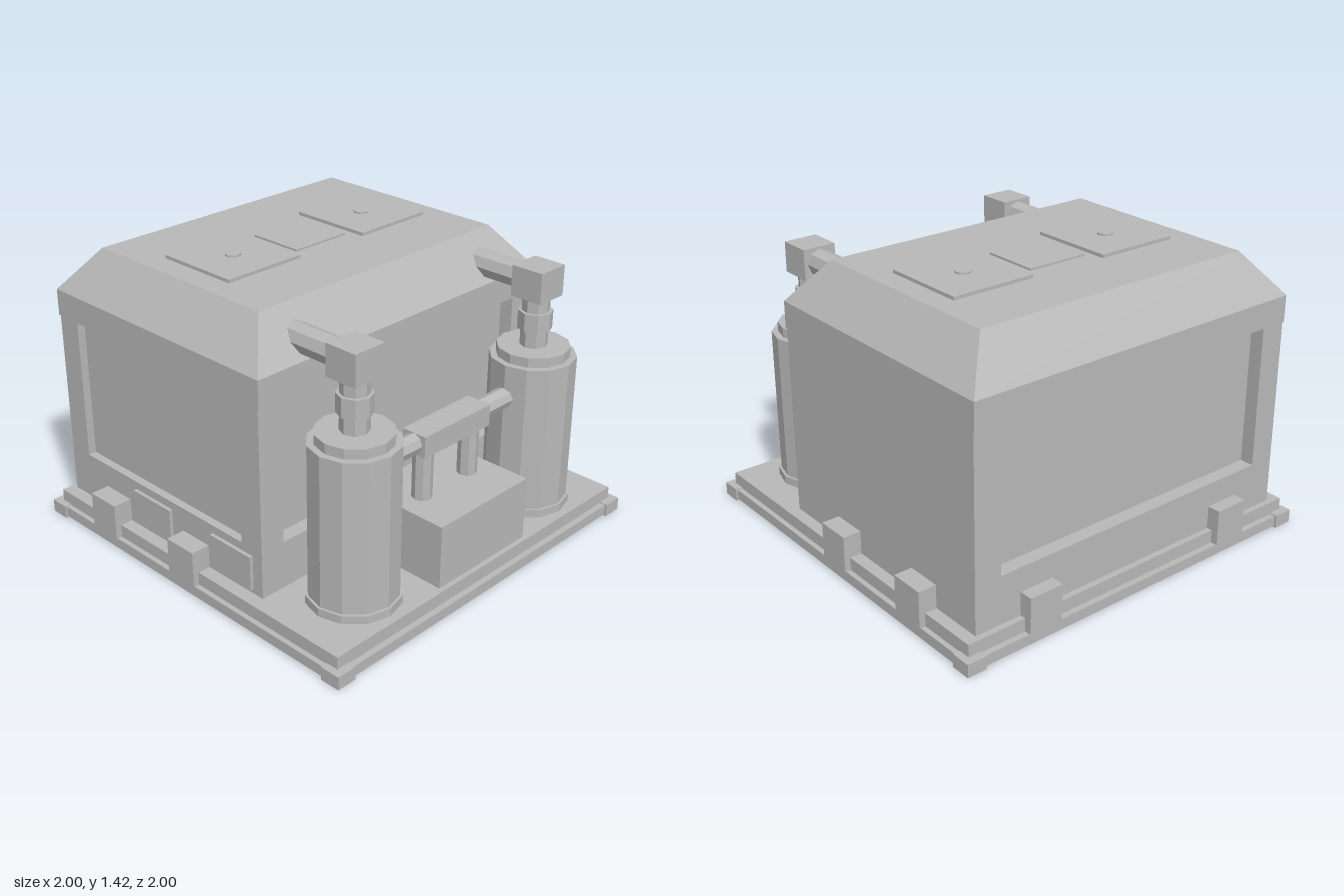
import * as THREE from 'three';

export function createModel() {
  const model = new THREE.Group();
  model.name = 'rooftopPlantUnit';
  const grey = new THREE.MeshStandardMaterial({ color: 0xb8b8b8 });
  grey.name = 'light grey';

  const add = (name, geometry, parent = model) => {
    const mesh = new THREE.Mesh(geometry, grey);
    mesh.name = name;
    parent.add(mesh);
    return mesh;
  };
  // Box given by its extents on each axis
  const box = (name, x0, x1, y0, y1, z0, z1, parent) => {
    const g = new THREE.BoxGeometry(x1 - x0, y1 - y0, z1 - z0);
    g.translate((x0 + x1) / 2, (y0 + y1) / 2, (z0 + z1) / 2);
    return add(name, g, parent);
  };
  // Faceted cylinder from a to b along the given axis, centred on c
  const rod = (name, axis, a, b, r, sides, c, parent) => {
    const g = new THREE.CylinderGeometry(r, r, b - a, sides);
    if (axis === 'x') g.rotateZ(Math.PI / 2);
    if (axis === 'z') g.rotateX(Math.PI / 2);
    const p = new THREE.Vector3(...c);
    p[axis] = (a + b) / 2;
    g.translate(p.x, p.y, p.z);
    const flat = g.toNonIndexed();
    flat.computeVertexNormals();
    return add(name, flat, parent);
  };

  // Base slab with a lower rim and corner blocks
  box('baseSlab', -0.96, 0.96, 0.035, 0.125, -0.965, 0.965);
  for (const s of [-1, 1]) {
    const near = s < 0 ? -0.99 : 0.95, far = s < 0 ? -0.95 : 0.99;
    box('baseRimSide', near, far, 0.008, 0.06, -0.95, 0.95);
    box('baseRimEnd', -0.95, 0.95, 0.008, 0.06, near, far);
    for (const t of [-1, 1]) {
      const x = s * 0.95, z = t * 0.95;
      box('cornerBlock', x - 0.05, x + 0.05, 0, 0.065, z - 0.05, z + 0.05);
    }
  }

  // Housing: inset core, plinth, posts and a plain back wall
  const housing = new THREE.Group();
  housing.name = 'housing';
  model.add(housing);
  box('housingCore', -0.86, 0.37, 0.36, 1.06, -0.85, 0.86, housing);
  box('housingPlinth', -0.93, 0.44, 0.12, 0.36, -0.905, 0.9, housing);
  box('housingBackWall', -0.93, 0.44, 0.36, 1.06, -0.905, -0.77, housing);
  box('housingPostRight', -0.93, -0.80, 0.36, 1.06, 0.77, 0.9, housing);
  box('housingPostLeft', 0.31, 0.44, 0.36, 1.06, 0.77, 0.9, housing);

  // Roof: fascia band under a truncated pyramid
  box('roofFascia', -0.935, 0.45, 1.06, 1.19, -0.905, 0.905);
  const roof = new THREE.BoxGeometry(1.385, 0.205, 1.81);
  const pos = roof.attributes.position;
  for (let i = 0; i < pos.count; i++) {
    if (pos.getY(i) > 0) {
      pos.setX(i, Math.sign(pos.getX(i)) * 0.53);
      pos.setZ(i, Math.sign(pos.getZ(i)) * 0.745);
    }
  }
  roof.computeVertexNormals();
  roof.translate(-0.2425, 1.2925, 0);
  add('roofSlope', roof);

  // Roof plates with hubs
  for (const z of [-0.42, 0.413]) {
    box('fanPlate', -0.46, -0.03, 1.39, 1.411, z - 0.214, z + 0.214);
    rod('fanHub', 'y', 1.4, 1.42, 0.037, 12, [-0.245, 0, z]);
  }
  box('roofHatch', -0.385, -0.1, 1.39, 1.405, -0.158, 0.156);

  // Brackets around the foot of the housing, and front service panels
  for (const x of [-0.575, -0.005]) {
    box('frontBracket', x - 0.088, x + 0.088, 0.06, 0.24, 0.9, 0.996);
    box('backBracket', x - 0.088, x + 0.088, 0.06, 0.24, -0.996, -0.9);
  }
  for (const z of [-0.575, 0.567]) {
    box('sideBracket', -0.996, -0.925, 0.06, 0.24, z - 0.088, z + 0.088);
  }
  for (const x of [-0.288, 0.26]) {
    box('servicePanel', x - 0.143, x + 0.121, 0.15, 0.32, 0.89, 0.918);
  }

  // Two tanks, each with neck, elbow box and pipe into the roof
  for (const z of [-0.605, 0.6]) {
    const tank = new THREE.Group();
    tank.name = z > 0 ? 'frontTank' : 'backTank';
    model.add(tank);
    const c = [0.7, 1.265, z];
    rod('tankFlange', 'y', 0.12, 0.165, 0.22, 12, c, tank);
    rod('tankBody', 'y', 0.165, 0.9, 0.207, 12, c, tank);
    rod('tankCap', 'y', 0.9, 0.947, 0.175, 12, c, tank);
    rod('tankNeck', 'y', 0.947, 1.2, 0.066, 8, c, tank);
    rod('tankCollar', 'y', 1.03, 1.12, 0.082, 8, c, tank);
    box('pipeElbow', 0.615, 0.783, 1.19, 1.34, z - 0.085, z + 0.085, tank);
    rod('roofPipe', 'x', 0.3, 0.62, 0.066, 8, c, tank);
  }

  // Pump box between the tanks with its manifold
  box('pumpBox', 0.47, 0.935, 0.12, 0.44, -0.298, 0.298);
  rod('pumpInlet', 'x', 0.42, 0.48, 0.065, 8, [0, 0.245, 0]);
  box('manifold', 0.63, 0.76, 0.68, 0.785, -0.223, 0.222);
  for (const s of [-1, 1]) {
    rod('manifoldPost', 'y', 0.43, 0.69, 0.048, 8, [0.695, 0, s * 0.157]);
    rod('manifoldPipe', 'z', s < 0 ? -0.43 : 0.21, s < 0 ? -0.21 : 0.43, 0.05, 8, [0.695, 0.735, 0]);
  }

  return model;
}
